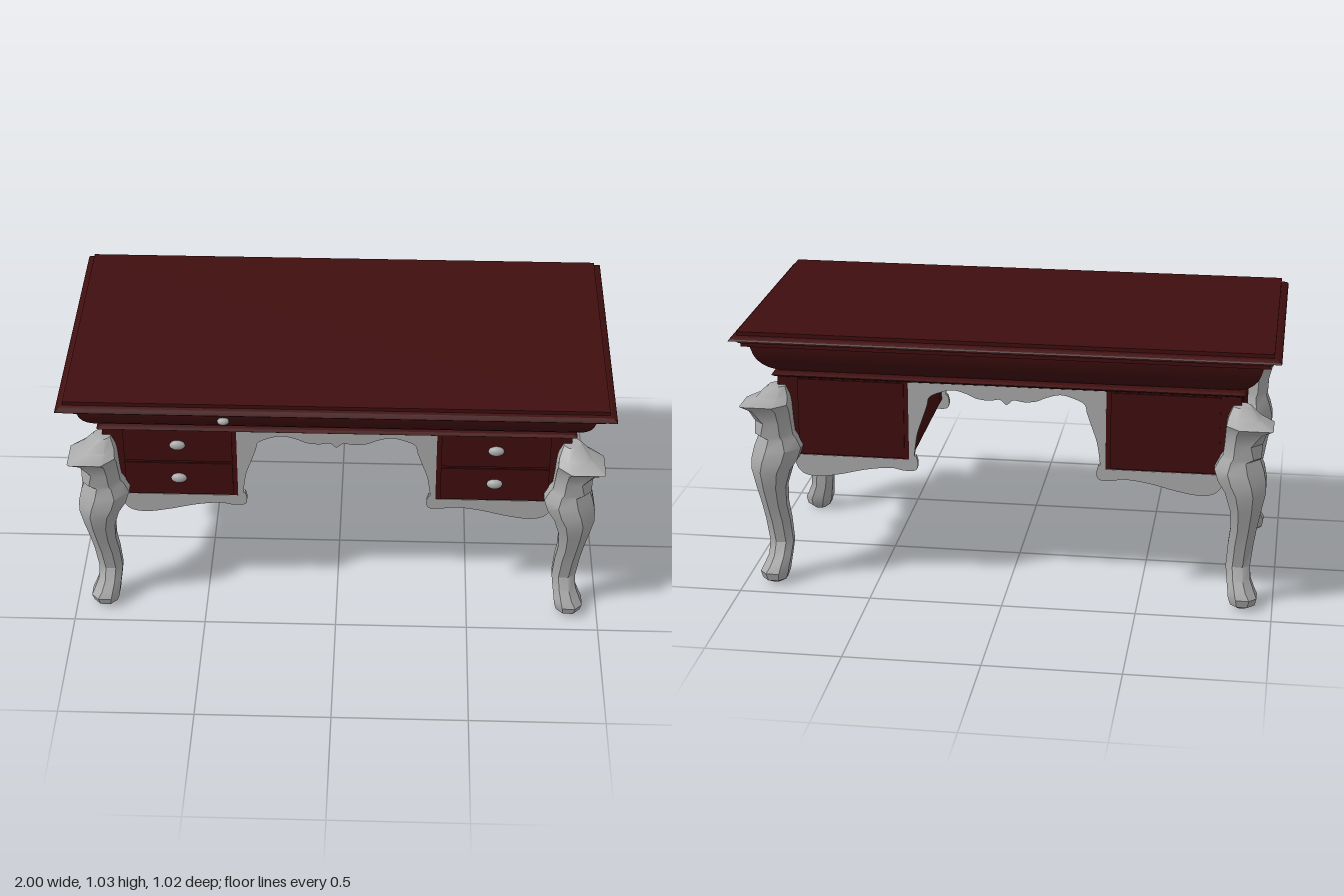
import * as THREE from 'three';
import { toCreasedNormals } from 'three/addons/utils/BufferGeometryUtils.js';

// Closed solid through a stack of rings (bottom to top) with equal point counts
function loft(rings, crease) {
  const n = rings[0].length, last = (rings.length - 1) * n, index = [];
  for (let i = 0; i < rings.length - 1; i++) {
    for (let j = 0; j < n; j++) {
      const a = i * n + j, b = i * n + (j + 1) % n;
      index.push(a, a + n, b, b, a + n, b + n);
    }
  }
  for (let j = 1; j < n - 1; j++) {
    index.push(0, j, j + 1, last, last + j + 1, last + j);
  }
  const g = new THREE.BufferGeometry();
  g.setAttribute('position', new THREE.Float32BufferAttribute(rings.flat(2), 3));
  g.setIndex(index);
  return toCreasedNormals(g, crease);
}

export function createModel() {
  const wood = new THREE.MeshStandardMaterial({ color: 0x400e0f });
  wood.name = 'dark red wood';
  const carving = new THREE.MeshStandardMaterial({ color: 0xaaaaaa });
  carving.name = 'grey carving';

  const model = new THREE.Group();
  model.name = 'desk';
  const add = (name, geometry, material, x = 0, y = 0, z = 0) => {
    const mesh = new THREE.Mesh(geometry, material);
    mesh.name = name;
    mesh.position.set(x, y, z);
    model.add(mesh);
    return mesh;
  };
  const box = (name, x0, x1, y0, y1, z0, z1) => add(name,
    new THREE.BoxGeometry(x1 - x0, y1 - y0, z1 - z0), wood,
    (x0 + x1) / 2, (y0 + y1) / 2, (z0 + z1) / 2);

  // Table top, rounded frieze and lower lip: [inset, height]
  const moulding = (name, profile) => add(name, loft(profile.map(([inset, y]) => {
    const x = 1 - inset, z = 0.512 - inset;
    return [[x, y, z], [-x, y, z], [-x, y, -z], [x, y, -z]];
  }), 0.5), wood);
  moulding('tableTop', [
    [0.038, 0.97], [0.038, 0.985], [0.03, 0.985], [0.03, 0.998], [0, 1],
    [0.004, 1.006], [0.016, 1.012], [0.027, 1.016], [0.027, 1.03],
  ]);
  moulding('frieze', [
    [0.157, 0.845], [0.138, 0.855], [0.118, 0.868], [0.1, 0.885],
    [0.083, 0.907], [0.073, 0.93], [0.066, 0.955], [0.064, 0.972],
  ]);
  moulding('lowerLip', [
    [0.15, 0.822], [0.135, 0.828], [0.125, 0.836], [0.138, 0.842], [0.157, 0.848],
  ]);

  // Pedestals with thin drawer fronts and panels
  for (const s of [-1, 1]) {
    const side = s < 0 ? 'right' : 'left';
    const sbox = (name, a, b, ...rest) => box(side + name, Math.min(s * a, s * b), Math.max(s * a, s * b), ...rest);
    sbox('Pedestal', 0.365, 0.86, 0.51, 0.83, -0.355, 0.355);
    sbox('LowerDrawer', 0.385, 0.785, 0.52, 0.665, 0.354, 0.36);
    sbox('UpperDrawer', 0.385, 0.785, 0.675, 0.815, 0.354, 0.36);
    sbox('BackPanel', 0.385, 0.785, 0.52, 0.815, -0.36, -0.354);
    sbox('SidePanel', 0.859, 0.865, 0.52, 0.815, -0.265, 0.265);
    sbox('InnerPanel', 0.36, 0.366, 0.52, 0.815, -0.265, 0.265);
  }

  // Drawer knobs
  const knob = (name, x, y, z, size) => add(name,
    new THREE.SphereGeometry(1, 14, 10).scale(size, size * 0.65, 0.016), carving, x, y, z);
  for (const x of [-0.585, 0.585]) {
    for (const y of [0.6, 0.753]) knob('drawerKnob', x, y, 0.366, 0.03);
  }
  knob('friezeKnob', -0.405, 0.927, 0.445, 0.022);

  // Scalloped aprons: a straight fixed edge, then a smooth carved edge
  const apron = (fixed, carved) => {
    const shape = new THREE.Shape(fixed.map(([x, y]) => new THREE.Vector2(x, y)));
    shape.splineThru(carved.map(([x, y]) => new THREE.Vector2(x, y)));
    return new THREE.ExtrudeGeometry(shape, { depth: 0.018, bevelEnabled: false, curveSegments: 40 })
      .translate(0, 0, -0.009);
  };
  const mirrorX = (points) => points.map(([x, y]) => [-x, y]);

  const pedestalFixed = [[0.366, 0.53], [0.366, 0.515], [0.81, 0.515]];
  const pedestalCarved = [
    [0.795, 0.465], [0.765, 0.437], [0.71, 0.43], [0.63, 0.443], [0.53, 0.467],
    [0.44, 0.478], [0.39, 0.47], [0.345, 0.473], [0.335, 0.5], [0.342, 0.53],
  ];
  const kneeHalf = [
    [0.345, 0.56], [0.335, 0.62], [0.315, 0.68], [0.298, 0.73], [0.288, 0.765],
    [0.25, 0.785], [0.2, 0.797], [0.15, 0.785], [0.11, 0.768], [0.065, 0.763], [0.025, 0.768],
  ];
  const kneeFixed = [[-0.35, 0.515], [-0.368, 0.515], [-0.368, 0.826],
    [0.368, 0.826], [0.368, 0.515], [0.35, 0.515]];
  const kneeCarved = [...kneeHalf, [0, 0.75], ...mirrorX(kneeHalf).reverse()];
  for (const z of [-0.348, 0.348]) {
    add('leftPedestalApron', apron(pedestalFixed, pedestalCarved), carving, 0, 0, z);
    add('rightPedestalApron', apron(mirrorX(pedestalFixed), mirrorX(pedestalCarved)), carving, 0, 0, z);
    add('kneeholeTrim', apron(kneeFixed, kneeCarved), carving, 0, 0, z);
  }
  const sideHalf = [[0.3, 0.463], [0.25, 0.438], [0.19, 0.448], [0.12, 0.475], [0.07, 0.483], [0.04, 0.458]];
  for (const x of [-0.852, 0.852]) {
    add('sideApron', apron([[-0.31, 0.515], [0.31, 0.515]],
      [...sideHalf, [0, 0.442], ...mirrorX(sideHalf).reverse(), [-0.31, 0.515]]),
    carving, x).rotation.y = Math.PI / 2;
  }

  // Cabriole legs: [y, x0, x1, z0, z1, chamfer of the outer corner]
  const sections = [
    [0.004, 0.865, 0.91, 0.35, 0.4, 0.3],
    [0.02, 0.845, 0.936, 0.335, 0.428, 0.3],
    [0.05, 0.836, 0.942, 0.325, 0.436, 0.25],
    [0.075, 0.833, 0.93, 0.322, 0.425, 0.3],
    [0.11, 0.828, 0.915, 0.32, 0.4, 0.3],
    [0.16, 0.822, 0.912, 0.317, 0.378, 0.3],
    [0.25, 0.828, 0.922, 0.316, 0.393, 0.3],
    [0.32, 0.836, 0.932, 0.322, 0.412, 0.3],
    [0.4, 0.832, 0.946, 0.332, 0.436, 0.3],
    [0.47, 0.812, 0.96, 0.31, 0.455, 0.3],
    [0.51, 0.785, 0.96, 0.28, 0.456, 0.3],
    [0.555, 0.77, 0.95, 0.264, 0.452, 0.32],
    [0.595, 0.79, 0.935, 0.285, 0.438, 0.35],
    [0.61, 0.8, 0.94, 0.29, 0.44, 0.2],
    [0.66, 0.805, 0.942, 0.3, 0.442, 0.3],
    [0.71, 0.808, 0.955, 0.306, 0.455, 0.12],
    [0.735, 0.81, 0.98, 0.31, 0.48, 0.04],
    [0.755, 0.815, 0.93, 0.312, 0.43, 0.15],
    [0.788, 0.83, 0.893, 0.32, 0.385, 0.35],
  ];
  for (const sx of [-1, 1]) {
    for (const sz of [-1, 1]) {
      const rings = sections.map(([y, x0, x1, z0, z1, o]) => {
        const w = x1 - x0, h = z1 - z0, c = 0.28;
        const ring = [
          [x1, z0 + c * h], [x1, z1 - o * h], [x1 - o * w, z1], [x0 + c * w, z1],
          [x0, z1 - c * h], [x0, z0 + c * h], [x0 + c * w, z0], [x1 - c * w, z0],
        ].map(([x, z]) => [sx * x, y, sz * z]);
        return sx * sz < 0 ? ring.reverse() : ring;
      });
      add((sz > 0 ? 'front' : 'back') + (sx > 0 ? 'Left' : 'Right') + 'Leg', loft(rings, 0.55), carving);
    }
  }
  return model;
}
